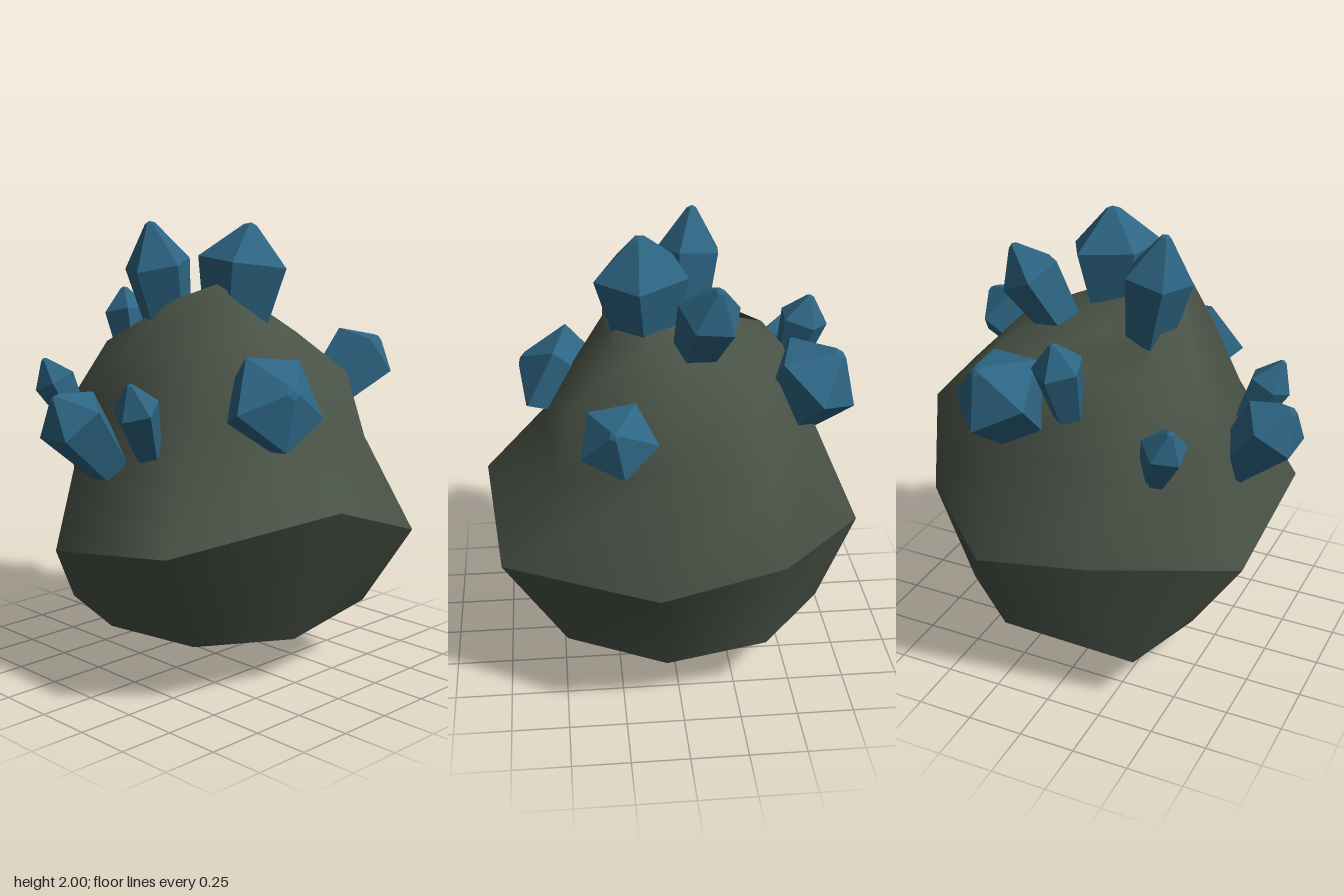
import * as THREE from 'three';
import { toCreasedNormals } from 'three/addons/utils/BufferGeometryUtils.js';

const rockMaterial = new THREE.MeshStandardMaterial({ color: 0x4a5347 });
rockMaterial.name = 'mossy grey stone';
const crystalMaterial = new THREE.MeshStandardMaterial({ color: 0x2d6583 });
crystalMaterial.name = 'deep blue crystal';

// Smooth skin over eight-cornered rings; a ring of one point closes an end
function loft(rings) {
  const positions = [];
  const tri = (a, b, c) => {
    if (a !== b && b !== c && c !== a) positions.push(...a, ...b, ...c);
  };
  for (let k = 0; k < rings.length - 1; k++) {
    const lower = rings[k], upper = rings[k + 1];
    for (let i = 0; i < 8; i++) {
      const j = (i + 1) % 8;
      const a = lower[i % lower.length], b = lower[j % lower.length];
      const c = upper[i % upper.length], d = upper[j % upper.length];
      tri(a, c, b);
      tri(b, c, d);
    }
  }
  const geometry = new THREE.BufferGeometry();
  geometry.setAttribute('position', new THREE.Float32BufferAttribute(positions, 3));
  return toCreasedNormals(geometry, Math.PI);
}

function makeRock() {
  // Each ring runs from the back, round by the left side to the front
  const foot = [
    [0.06, 0.2, -0.6], [0.49, 0.27, -0.47], [0.49, 0.2, 0], [0.37, 0.26, 0.49],
    [-0.2, 0.2, 0.46], [-0.61, 0.22, 0.35], [-0.66, 0.28, -0.25], [-0.38, 0.26, -0.57],
  ];
  const ridge = [
    [0.11, 0.7, -0.86], [0.76, 0.66, -0.47], [0.82, 0.85, 0.09], [0.44, 0.7, 0.71],
    [-0.27, 0.59, 0.71], [-0.76, 0.75, 0.2], [-0.82, 0.7, -0.28], [-0.43, 0.74, -0.72],
  ];
  const shoulder = [
    [-0.02, 1.21, -0.73], [0.51, 1.05, -0.43], [0.55, 1.15, 0.06], [0.3, 1.2, 0.46],
    [-0.2, 1.2, 0.58], [-0.64, 1.1, 0.37], [-0.62, 1.15, -0.3], [-0.36, 1.18, -0.72],
  ];
  const slope = [
    [0.05, 1.47, -0.48], [0.45, 1.34, -0.37], [0.4, 1.41, 0.03], [0.27, 1.47, 0.34],
    [-0.14, 1.42, 0.43], [-0.45, 1.45, 0.25], [-0.47, 1.52, -0.18], [-0.3, 1.47, -0.42],
  ];
  const crown = [
    [0.1, 1.57, -0.26], [0.25, 1.54, -0.16], [0.28, 1.54, 0], [0.28, 1.7, 0.19],
    [0.05, 1.68, 0.28], [-0.12, 1.51, 0.28], [-0.22, 1.57, 0.02], [-0.08, 1.56, -0.22],
  ];
  const sections = {
    rockUnderside: [[[-0.06, 0, -0.11]], foot],
    rockBelly: [foot, ridge],
    rockTop: [ridge, shoulder, slope, crown, [[0.16, 1.74, 0.15]]],
  };
  const rock = new THREE.Group();
  rock.name = 'rock';
  for (const [name, rings] of Object.entries(sections)) {
    const mesh = new THREE.Mesh(loft(rings), rockMaterial);
    mesh.name = name;
    rock.add(mesh);
  }
  return rock;
}

// Five-sided crystal that widens from its root to a shoulder, then closes to a blunt point
function makeCrystal(root, tip, radius, shoulder, spin) {
  const start = new THREE.Vector3(...root);
  const axis = new THREE.Vector3(...tip).sub(start);
  const length = axis.length();
  const profile = [
    [0, 0], [radius * 0.62, 0], [radius, length * shoulder],
    [radius * 0.15, length * 0.98], [0, length],
  ].map(([r, y]) => new THREE.Vector2(r, y));
  const lathe = new THREE.LatheGeometry(profile, 5);
  lathe.rotateY(spin);
  const crystal = new THREE.Mesh(toCreasedNormals(lathe, 0.2), crystalMaterial);
  crystal.position.copy(start);
  crystal.quaternion.setFromUnitVectors(new THREE.Vector3(0, 1, 0), axis.normalize());
  return crystal;
}

export function createModel() {
  const model = new THREE.Group();
  model.name = 'crystalRock';
  model.add(makeRock());

  // name, root, tip, radius, shoulder height, spin
  const crystals = [
    ['tallCrownCrystal', [-0.1, 1.46, 0.17], [-0.13, 2.0, 0.27], 0.15, 0.65, 0.2],
    ['broadCrownCrystal', [0.09, 1.46, -0.03], [0.13, 1.99, -0.09], 0.21, 0.68, 0.5],
    ['rearCrownCrystal', [-0.08, 1.46, -0.2], [-0.17, 1.87, -0.42], 0.14, 0.68, 0.1],
    ['leftCrystal', [0.32, 1.18, 0.13], [0.65, 1.34, 0.19], 0.225, 0.68, 0],
    ['backCrystal', [0.23, 1.2, -0.48], [0.28, 1.44, -0.8], 0.165, 0.7, 0.7],
    ['rightCrystal', [-0.43, 1.18, -0.2], [-0.7, 1.53, -0.31], 0.21, 0.66, 0.7],
    ['upperRightCrystal', [-0.53, 1.32, 0.02], [-0.62, 1.67, 0], 0.11, 0.68, 0.9],
    ['largeFrontCrystal', [-0.06, 0.98, 0.57], [-0.09, 1.31, 0.84], 0.155, 0.7, 0.6],
    ['smallFrontCrystal', [0.15, 1.06, 0.54], [0.21, 1.38, 0.69], 0.1, 0.65, 0.2],
    ['frontRightCrystal', [-0.51, 1.1, 0.39], [-0.6, 1.38, 0.5], 0.1, 0.65, 0.8],
  ];
  for (const [name, ...shape] of crystals) {
    const crystal = makeCrystal(...shape);
    crystal.name = name;
    model.add(crystal);
  }
  return model;
}
